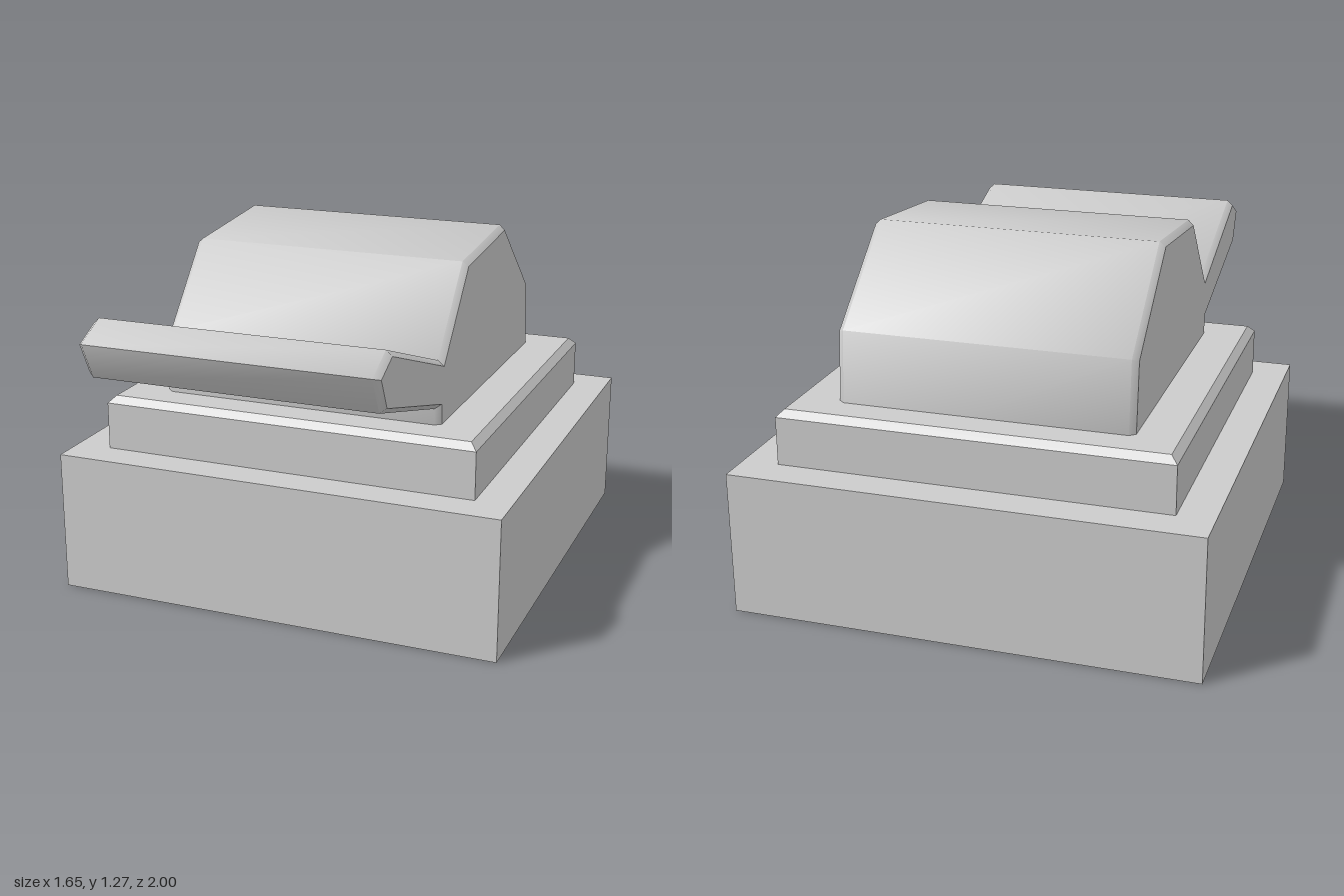
import * as THREE from 'three';
import { toCreasedNormals } from 'three/addons/utils/BufferGeometryUtils.js';

const CENTRE_Z = -0.172;

// Open square shell swept through [half-width, height] pairs
function squareShell(name, profile) {
  const points = profile.map(([w, y]) => new THREE.Vector2(w * Math.SQRT2, y));
  const geometry = new THREE.LatheGeometry(points, 4, Math.PI / 4);
  const material = new THREE.MeshStandardMaterial({
    color: 0xcccccc, flatShading: true, side: THREE.DoubleSide,
  });
  const mesh = new THREE.Mesh(geometry, material);
  mesh.name = name;
  mesh.position.z = CENTRE_Z;
  return mesh;
}

// Eight-sided drum with a lever, drawn in (z, y) and extruded across x
function drumWithLever() {
  const outline = [
    [0.39, 0.775], [0.935, 0.93], [1.0, 1.06], [0.88, 1.12], [0.36, 0.94],
  ];
  const radius = 0.607, axisY = 0.69;
  for (let i = 0; i < 7; i++) {
    const a = THREE.MathUtils.degToRad(62.6 + i * 45);
    outline.push([CENTRE_Z + radius * Math.cos(a), axisY + radius * Math.sin(a)]);
  }
  const shape = new THREE.Shape(outline.map(([z, y]) => new THREE.Vector2(z, y)));
  const bevel = 0.021, inset = 0.018, width = 1.05;
  const geometry = new THREE.ExtrudeGeometry(shape, {
    depth: width - 2 * bevel, bevelEnabled: true, bevelSegments: 1,
    bevelThickness: bevel, bevelSize: inset, bevelOffset: -inset,
  });
  geometry.translate(0, 0, bevel - width / 2);
  geometry.rotateY(-Math.PI / 2);
  const mesh = new THREE.Mesh(
    toCreasedNormals(geometry, THREE.MathUtils.degToRad(48)),
    new THREE.MeshStandardMaterial({ color: 0xcccccc }),
  );
  mesh.name = 'drumWithLever';
  return mesh;
}

export function createModel() {
  const model = new THREE.Group();
  model.name = 'leverSwitch';
  // Hollow base, open underneath
  model.add(squareShell('base', [[0.827, 0], [0.827, 0.517], [0.697, 0.517]]));
  // Raised frame with a chamfered rim around the drum
  model.add(squareShell('frame', [[0.697, 0.517], [0.697, 0.69], [0.672, 0.715], [0.515, 0.715]]));
  model.add(drumWithLever());
  return model;
}
